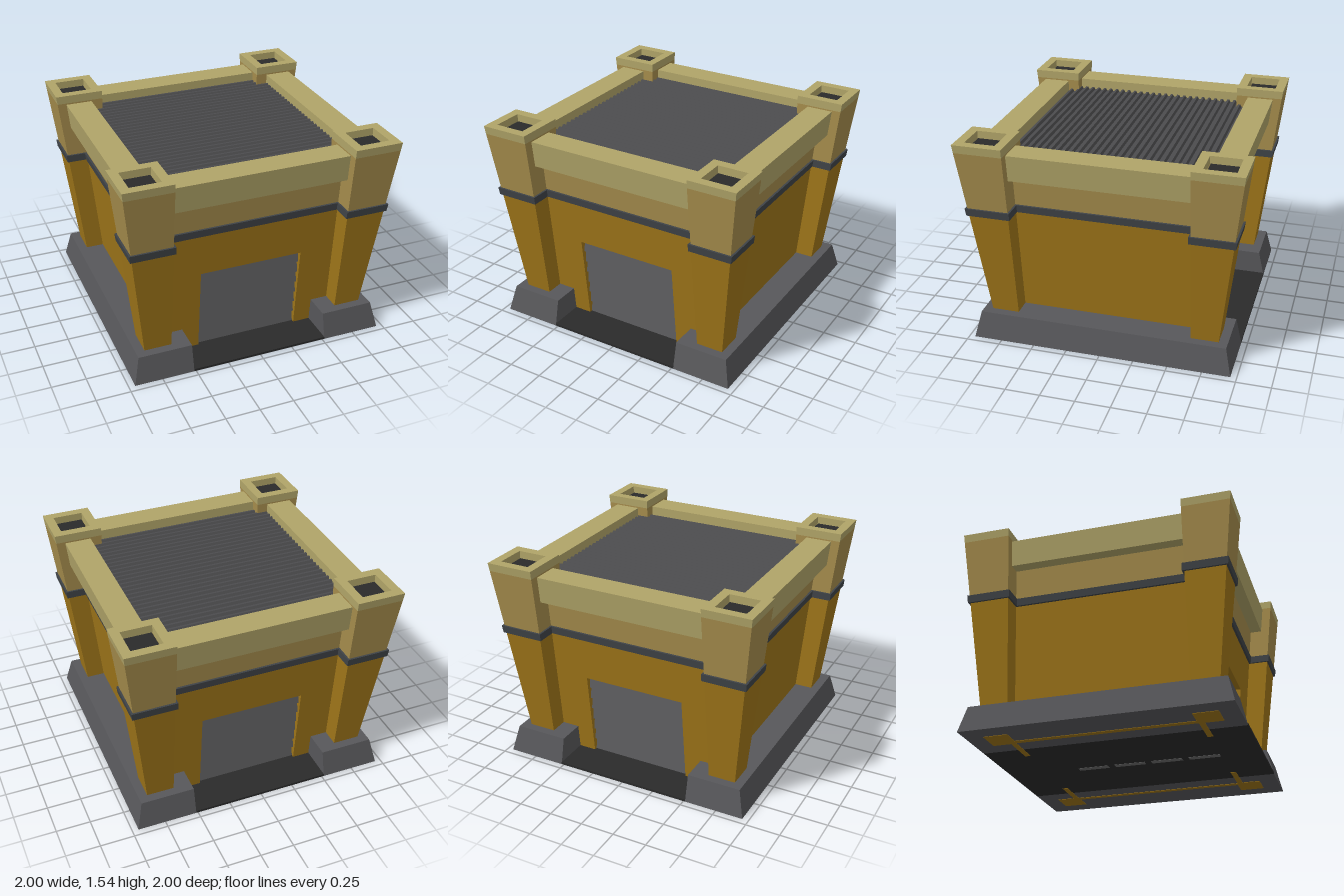
import * as THREE from 'three';

const mat = (color) => new THREE.MeshStandardMaterial({ color });
const M = {
  lower: mat(0x9e7519), upper: mat(0xa58c4c), crown: mat(0xb0a468),
  base: mat(0x57575a), band: mat(0x3f4347), slat: mat(0x5a5a5c),
  roof: mat(0x4c4c4e), floor: mat(0x2a2a2a), dash: mat(0x6a6a6a),
};

// Outer faces lean outwards with height
const pillarOut = (y) => 0.822 + 0.115 * y;
const wallOut = (y) => 0.69 + 0.1 * y;
const INNER = 0.645, BAND0 = 1.0, BAND1 = 1.055, SPLIT = 1.03;
const DOOR_W = 0.385, DOOR_H = 0.67, FLOOR = 0.02;

function add(parent, name, geometry, material) {
  const mesh = new THREE.Mesh(geometry, material);
  mesh.name = name;
  parent.add(mesh);
  return mesh;
}

// Box whose bottom and top rectangles [x0, x1, z0, z1] differ
function taper(y0, y1, bottom, top) {
  const g = new THREE.BoxGeometry(1, 1, 1), p = g.attributes.position;
  for (let i = 0; i < p.count; i++) {
    const up = p.getY(i) > 0, r = up ? top : bottom;
    p.setXYZ(i, p.getX(i) < 0 ? r[0] : r[1], up ? y1 : y0, p.getZ(i) < 0 ? r[2] : r[3]);
  }
  g.computeVertexNormals();
  return g;
}

// Closed outline from corner points
const outline = (pts) => new THREE.Shape(pts.map(([x, y]) => new THREE.Vector2(x, y)));

// Leaning wall panel extruded from an upright outline
function wallPanel(pts) {
  const t = 0.04;
  const g = new THREE.ExtrudeGeometry(outline(pts), { depth: t, bevelEnabled: false });
  const p = g.attributes.position;
  for (let i = 0; i < p.count; i++) p.setZ(i, p.getZ(i) - t + wallOut(p.getY(i)));
  g.computeVertexNormals();
  return g;
}

function makePillar() {
  const pillar = new THREE.Group();
  pillar.name = 'cornerPillar';
  const rect = (y, e = 0) => [INNER - e, pillarOut(y) + e, INNER - e, pillarOut(y) + e];
  const cap = 1.485, top = 1.545;
  add(pillar, 'pillarLower', taper(0, SPLIT, rect(0), rect(SPLIT)), M.lower);
  add(pillar, 'pillarUpper', taper(SPLIT, cap, rect(SPLIT), rect(cap)), M.upper);
  add(pillar, 'pillarBand', taper(BAND0, BAND1, rect(BAND0, 0.014), rect(BAND1, 0.014)), M.band);

  // Collar with a square opening
  const s = outline([[INNER, -1], [1, -1], [1, -INNER], [INNER, -INNER]]);
  s.holes.push(outline([[0.712, -0.933], [0.712, -0.712], [0.933, -0.712], [0.933, -0.933]]));
  const g = new THREE.ExtrudeGeometry(s, { depth: top - cap, bevelEnabled: false });
  g.rotateX(-Math.PI / 2).translate(0, cap, 0);
  const p = g.attributes.position;
  for (let i = 0; i < p.count; i++) {
    if (p.getX(i) > 0.99) p.setX(i, pillarOut(p.getY(i)));
    if (p.getZ(i) > 0.99) p.setZ(i, pillarOut(p.getY(i)));
  }
  g.computeVertexNormals();
  add(pillar, 'pillarCollar', g, M.crown);
  const well = new THREE.BoxGeometry(0.208, 0.01, 0.208).translate(0.8225, cap + 0.003, 0.8225);
  add(pillar, 'pillarWell', well, M.floor);
  return pillar;
}

function makeDoor() {
  const door = new THREE.Group();
  door.name = 'rollerDoor';
  const n = 7, h = (DOOR_H - FLOOR) / n;
  for (let i = 0; i < n; i++) {
    const y0 = FLOOR + i * h, y1 = y0 + h;
    const z0 = wallOut(y0) - 0.022, z1 = wallOut(y1) - 0.045;
    add(door, 'doorSlat', taper(y0, y1, [-DOOR_W, DOOR_W, z0 - 0.05, z0],
      [-DOOR_W, DOOR_W, z1 - 0.04, z1]), M.slat);
  }
  return door;
}

function makeSide(hasDoor) {
  const side = new THREE.Group();
  side.name = hasDoor ? 'doorWall' : 'plainWall';
  const w = 0.66;
  const notch = hasDoor
    ? [[-DOOR_W, 0], [-DOOR_W, DOOR_H], [DOOR_W, DOOR_H], [DOOR_W, 0]] : [];
  add(side, 'wallLower', wallPanel([[-w, 0], ...notch, [w, 0], [w, SPLIT], [-w, SPLIT]]), M.lower);
  add(side, 'wallUpper', wallPanel([[-w, SPLIT], [w, SPLIT], [w, 1.3], [-w, 1.3]]), M.upper);
  const bandRect = (y) => [-INNER, INNER, wallOut(y) - 0.02, wallOut(y) + 0.016];
  add(side, 'wallBand', taper(BAND0, BAND1, bandRect(BAND0), bandRect(BAND1)), M.band);
  add(side, 'parapet', taper(1.28, 1.475, [-INNER, INNER, 0.73, 0.903],
    [-INNER, INNER, 0.73, 0.925]), M.crown);
  if (hasDoor) side.add(makeDoor());
  return side;
}

// Corrugated sheet with ridges running across x
function makeRoof() {
  const n = 29, half = 0.735, step = 2 * half / n, y = 1.395, h = 0.018;
  const pts = [[-half, y - 0.03]];
  for (let i = 0; i < n; i++) {
    const a = -half + i * step;
    pts.push([a, y], [a + step * 0.3, y], [a + step * 0.5, y + h], [a + step * 0.8, y + h]);
  }
  pts.push([half, y], [half, y - 0.03]);
  const g = new THREE.ExtrudeGeometry(outline(pts.reverse()), { depth: 2 * half, bevelEnabled: false });
  return g.translate(0, 0, -half).rotateY(Math.PI / 2);
}

export function createModel() {
  const model = new THREE.Group();
  model.name = 'garage';

  // Pillars and walls repeat around the square plan
  for (let i = 0; i < 4; i++) {
    for (const part of [makePillar(), makeSide(i % 2 === 0)]) {
      part.rotation.y = i * Math.PI / 2;
      model.add(part);
    }
  }
  add(model, 'corrugatedRoof', makeRoof(), M.roof);

  // Sloped plinth on both sides of the driveway
  const gap = 0.515, b = 0.955, t = 0.91, lift = 0.003;
  add(model, 'plinthLeft', taper(lift, 0.2, [gap, b, -b, b], [gap, t, -t, t]), M.base);
  add(model, 'plinthRight', taper(lift, 0.2, [-b, -gap, -b, b], [-t, -gap, -t, t]), M.base);
  const lane = [-gap, gap, -b, b];
  add(model, 'driveway', taper(lift, FLOOR, lane, lane), M.floor);

  // Dashed centre line under the driveway
  for (let i = 0; i < 4; i++) {
    const dash = new THREE.BoxGeometry(0.05, 0.004, 0.23).translate(0, 0.003, -0.3 + i * 0.28);
    add(model, 'laneDash', dash, M.dash);
  }
  return model;
}
